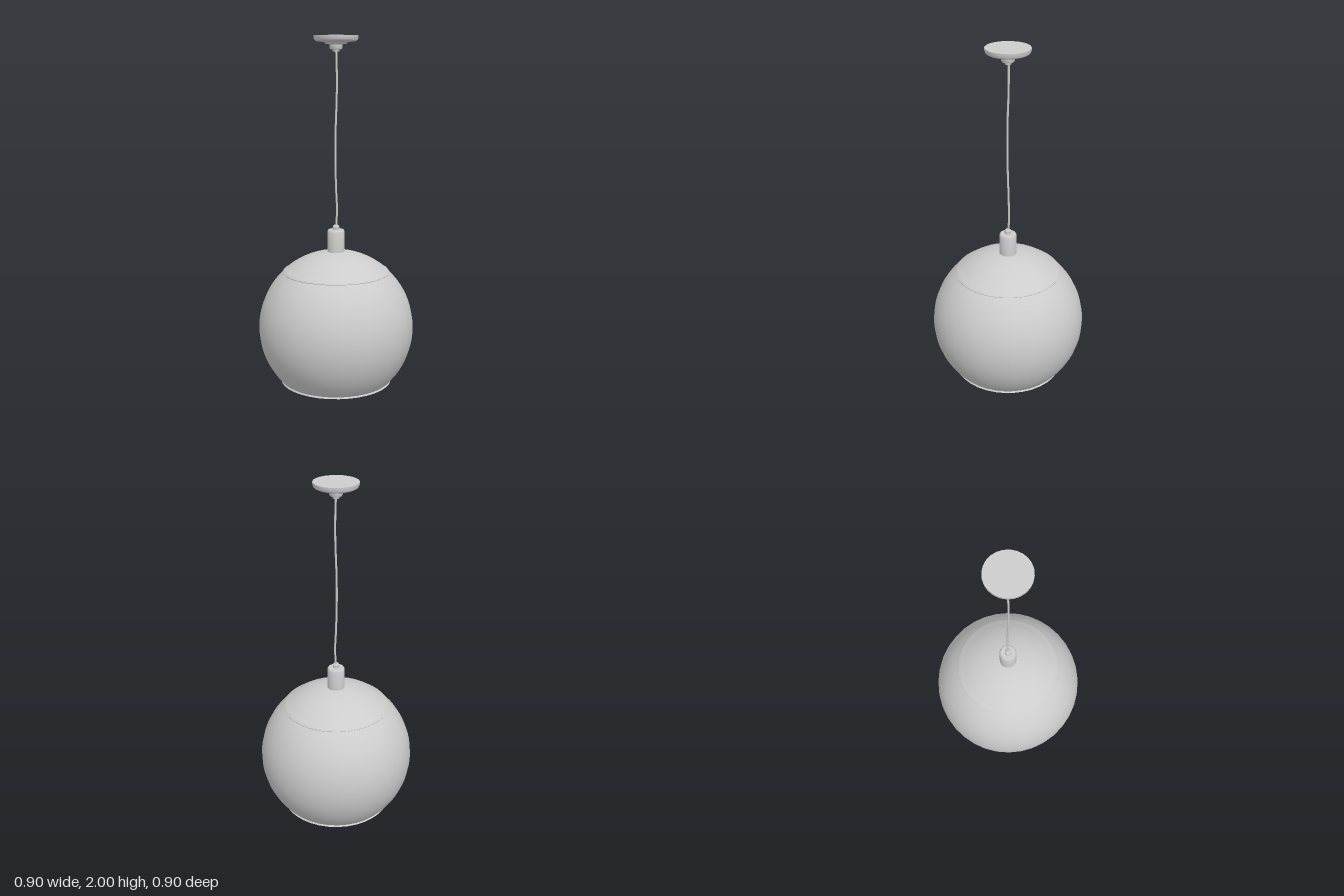
import * as THREE from 'three';
import { toCreasedNormals } from 'three/addons/utils/BufferGeometryUtils.js';

export function createModel() {
  const model = new THREE.Group();
  model.name = 'pendantLamp';
  const paleGrey = new THREE.MeshStandardMaterial({ color: 0xcccccc, side: THREE.DoubleSide });
  paleGrey.name = 'paleGrey';

  const add = (name, geometry) => {
    const mesh = new THREE.Mesh(geometry, paleGrey);
    mesh.name = name;
    model.add(mesh);
  };
  // Profiles run from bottom to top as [radius, height] pairs
  const turn = (name, profile, sides) => {
    const points = profile.map(([r, y]) => new THREE.Vector2(r, y));
    add(name, toCreasedNormals(new THREE.LatheGeometry(points, sides), 0.6));
  };
  // Points on the globe between two polar angles measured from the top
  const R = 0.45, CY = 0.325;
  const arc = (from, to, steps, radius = R) =>
    Array.from({ length: steps + 1 }, (_, i) => {
      const a = from + (to - from) * i / steps;
      return [radius * Math.sin(a), CY + radius * Math.cos(a)];
    });

  // Thin globe shade, open at the bottom and at the cap
  const rim = Math.PI - 0.79;
  turn('shade', [[0.325, 0], ...arc(rim, 0.75, 20)], 36);

  // Domed cap with a small rounded lip
  turn('shadeCap', [[0.295, 0.65], [0.308, 0.65], [0.31, 0.655], [0.303, 0.664],
    ...arc(0.7, 0.001, 9, 0.452)], 36);

  // Lamp holder and cord grip
  turn('lampHolder', [[0, 0.765], [0.05, 0.765], [0.05, 0.893], [0.044, 0.902], [0, 0.902]], 24);
  turn('cordGrip', [[0, 0.9], [0.019, 0.9], [0.019, 0.921], [0.014, 0.928], [0, 0.928]], 16);

  // Slightly wavy hanging cord
  const path = [
    [0, 0.92, -0.004], [0.004, 1.02, -0.006], [0, 1.12, -0.004], [-0.003, 1.28, 0.002],
    [-0.002, 1.45, 0.004], [0.003, 1.62, 0.001], [0.004, 1.75, -0.004], [0, 1.92, -0.004],
  ].map(p => new THREE.Vector3(...p));
  add('cord', new THREE.TubeGeometry(new THREE.CatmullRomCurve3(path), 40, 0.006, 8));

  // Ceiling canopy with its lower collar
  turn('canopy', [[0, 1.953], [0.058, 1.953], [0.066, 1.962], [0.108, 1.967],
    [0.12, 1.974], [0.125, 1.985], [0.125, 2], [0, 2]], 24);
  turn('canopyCollar', [[0, 1.91], [0.018, 1.91], [0.02, 1.922], [0.033, 1.924],
    [0.036, 1.93], [0.036, 1.948], [0.05, 1.955], [0, 1.957]], 20);

  return model;
}
